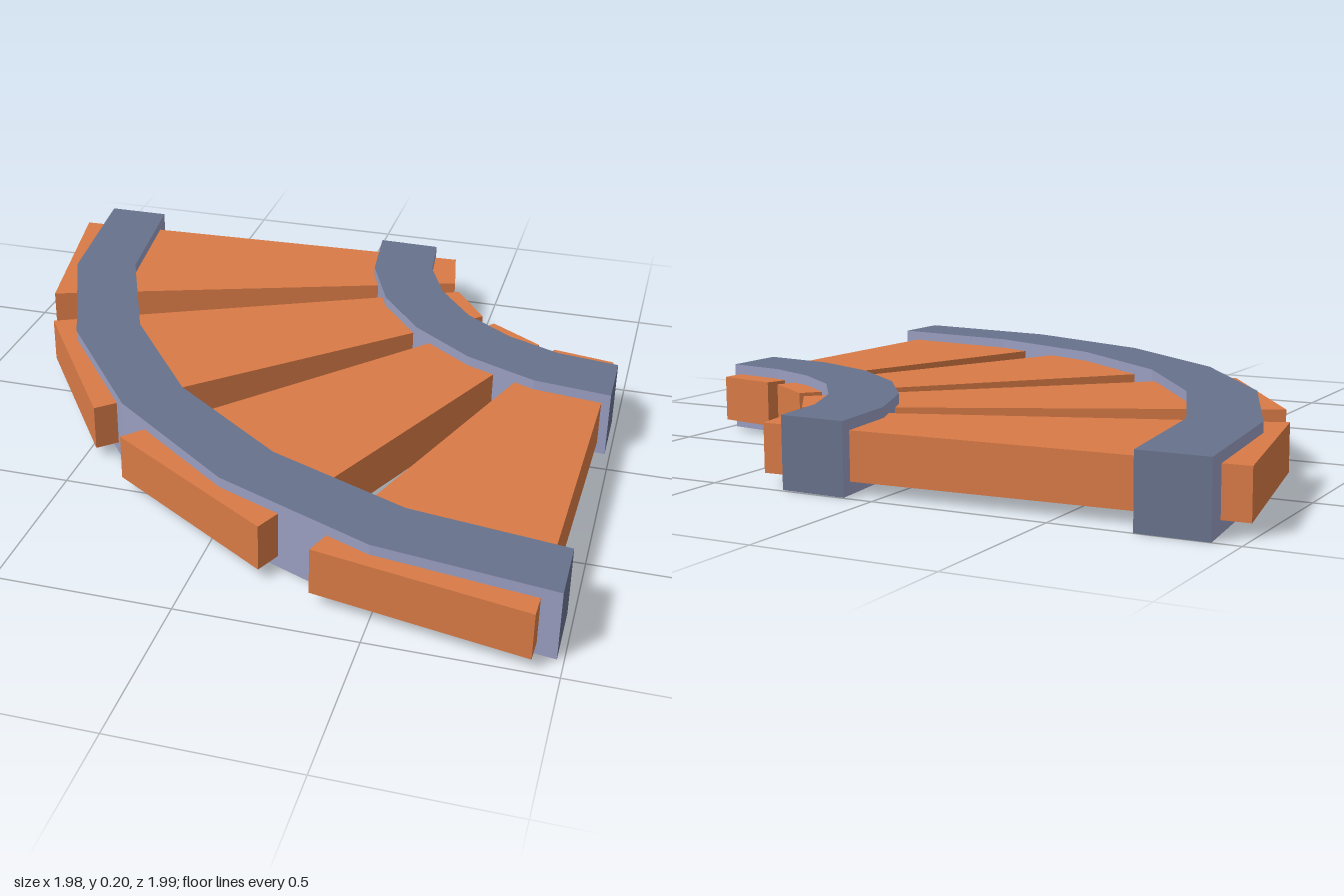
import * as THREE from 'three';

const steel = new THREE.MeshStandardMaterial({ name: 'darkSteel', color: 0x68728c });
const steelSide = new THREE.MeshStandardMaterial({ name: 'lightSteel', color: 0x9a9ec0 });
const wood = new THREE.MeshStandardMaterial({ name: 'orangeWood', color: 0xd87a46 });

// Square-section rail swept through pairs of outer and inner edge points [x, z]
function makeRail(name, outer, inner, height) {
  const sections = outer.map(([x, z], i) => {
    const [u, w] = inner[i];
    return [[x, height, z], [u, height, w], [u, 0, w], [x, 0, z]];
  });
  const dark = [], light = [];
  const quad = (list, a, b, c, d) => list.push(...a, ...b, ...c, ...a, ...c, ...d);
  for (let i = 0; i < sections.length - 1; i++) {
    const s = sections[i], t = sections[i + 1];
    for (let k = 0; k < 4; k++) {
      const n = (k + 1) % 4;
      quad(k % 2 ? light : dark, s[k], t[k], t[n], s[n]);
    }
  }
  // End caps
  quad(dark, ...sections[0]);
  quad(dark, ...[...sections[sections.length - 1]].reverse());

  const geometry = new THREE.BufferGeometry();
  geometry.setAttribute('position', new THREE.Float32BufferAttribute([...dark, ...light], 3));
  geometry.addGroup(0, dark.length / 3, 0);
  geometry.addGroup(dark.length / 3, light.length / 3, 1);
  geometry.computeVertexNormals();
  const mesh = new THREE.Mesh(geometry, [steel, steelSide]);
  mesh.name = name;
  return mesh;
}

// Wedge-shaped tie from four ground-plan corners [x, z]
function makeTie(name, corners) {
  const shape = new THREE.Shape(corners.map(([x, z]) => new THREE.Vector2(x, -z)));
  const geometry = new THREE.ExtrudeGeometry(shape, { depth: 0.135, bevelEnabled: false });
  geometry.rotateX(-Math.PI / 2).translate(0, 0.035, 0);
  const mesh = new THREE.Mesh(geometry, wood);
  mesh.name = name;
  return mesh;
}

export function createModel() {
  const group = new THREE.Group();
  group.name = 'curvedTrack';

  // Long rail on the outside of the bend
  group.add(makeRail('outerRail',
    [[-0.925, -1], [-0.867, -0.507], [-0.677, -0.037], [-0.373, 0.357], [0.022, 0.663], [0.484, 0.86], [0.982, 0.93]],
    [[-0.729, -1], [-0.675, -0.556], [-0.502, -0.138], [-0.239, 0.214], [0.124, 0.494], [0.537, 0.669], [0.982, 0.733]],
    0.2));

  // Short rail on the inside of the bend
  group.add(makeRail('innerRail',
    [[0.088, -0.995], [0.115, -0.762], [0.204, -0.545], [0.347, -0.36], [0.537, -0.212], [0.754, -0.116], [0.985, -0.085]],
    [[0.283, -0.99], [0.304, -0.81], [0.373, -0.646], [0.489, -0.492], [0.638, -0.381], [0.802, -0.31], [0.985, -0.283]],
    0.2));

  // Ties fanned around the bend
  [
    [[-0.992, -0.917], [0.357, -0.968], [0.391, -0.778], [-0.876, -0.327]],
    [[-0.8, -0.138], [0.415, -0.716], [0.524, -0.556], [-0.462, 0.358]],
    [[-0.33, 0.489], [0.569, -0.515], [0.729, -0.407], [0.178, 0.818]],
    [[0.333, 0.88], [0.78, -0.388], [0.967, -0.354], [0.926, 0.993]],
  ].forEach((corners, i) => group.add(makeTie(`tie${i + 1}`, corners)));

  return group;
}
